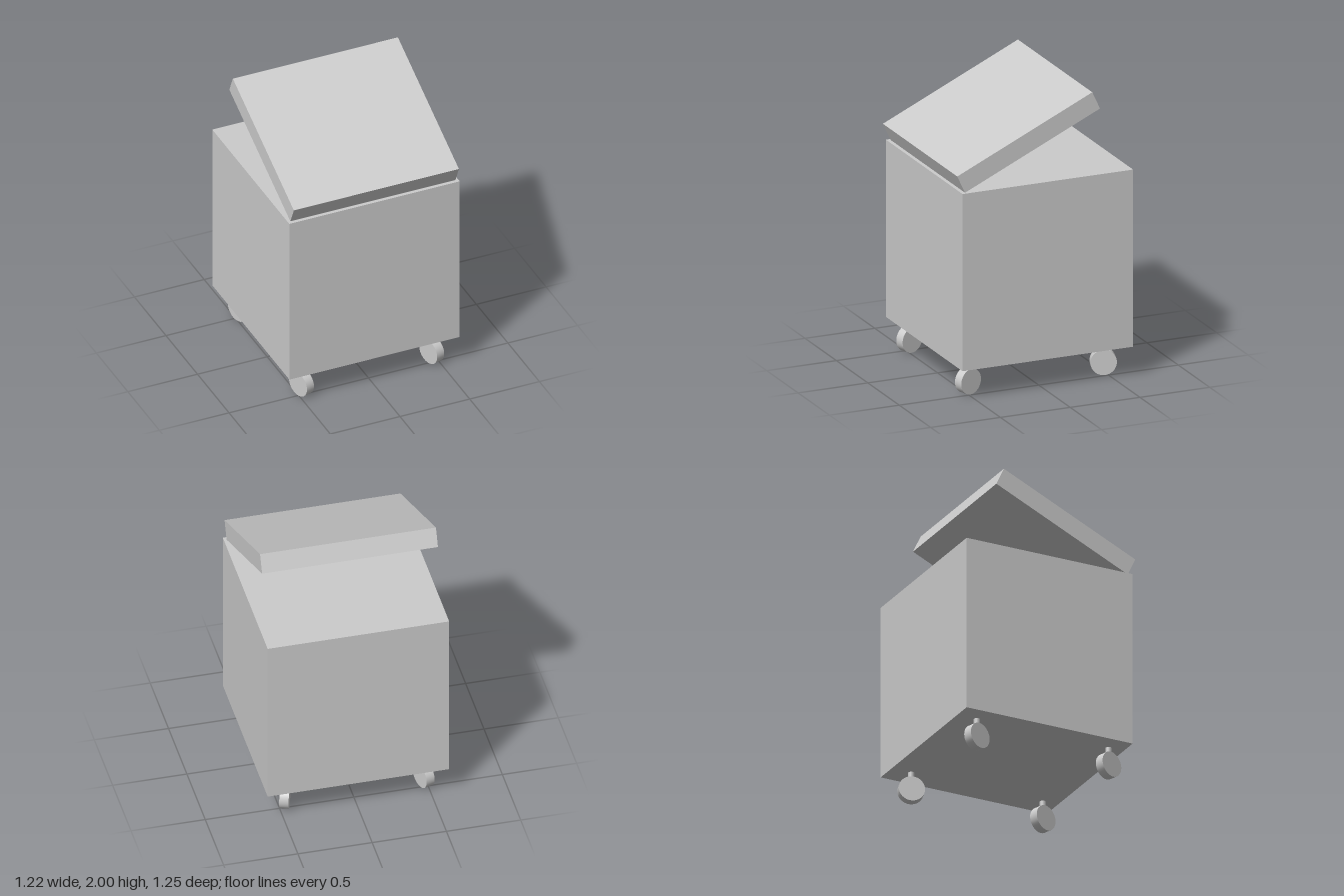
import * as THREE from 'three';

const material = new THREE.MeshStandardMaterial({ color: 0xcccccc });

function addMesh(parent, name, geometry, x, y, z) {
  const mesh = new THREE.Mesh(geometry, material);
  mesh.name = name;
  mesh.position.set(x, y, z);
  parent.add(mesh);
  return mesh;
}

// Swivel caster: upright stem with a disc wheel turned about it
function addCaster(parent, name, x, z, yaw) {
  const caster = new THREE.Group();
  caster.name = name;
  caster.position.set(x, 0, z);
  caster.rotation.y = yaw;
  const wheelGeometry = new THREE.CylinderGeometry(0.087, 0.087, 0.062, 40);
  wheelGeometry.rotateZ(Math.PI / 2);
  addMesh(caster, 'wheel', wheelGeometry, 0, 0.087, 0);
  addMesh(caster, 'stem', new THREE.CylinderGeometry(0.021, 0.021, 0.09, 24), 0, 0.17, 0);
  parent.add(caster);
}

export function createModel() {
  const model = new THREE.Group();
  model.name = 'rollingBox';

  // Cubic body
  addMesh(model, 'body', new THREE.BoxGeometry(1.222, 1.222, 1.222), 0, 0.823, -0.015);

  // Lid tipped up, resting on its front lower edge
  const lid = addMesh(model, 'lid', new THREE.BoxGeometry(1.184, 0.132, 1.066), 0, 1.717, 0.114);
  lid.rotation.x = THREE.MathUtils.degToRad(24.8);

  // Casters, one of them swivelled the other way
  const yaw = THREE.MathUtils.degToRad(18);
  addCaster(model, 'frontLeftCaster', 0.459, 0.489, yaw);
  addCaster(model, 'frontRightCaster', -0.475, 0.489, yaw);
  addCaster(model, 'backLeftCaster', 0.459, -0.48, -yaw);
  addCaster(model, 'backRightCaster', -0.475, -0.48, yaw);

  return model;
}
